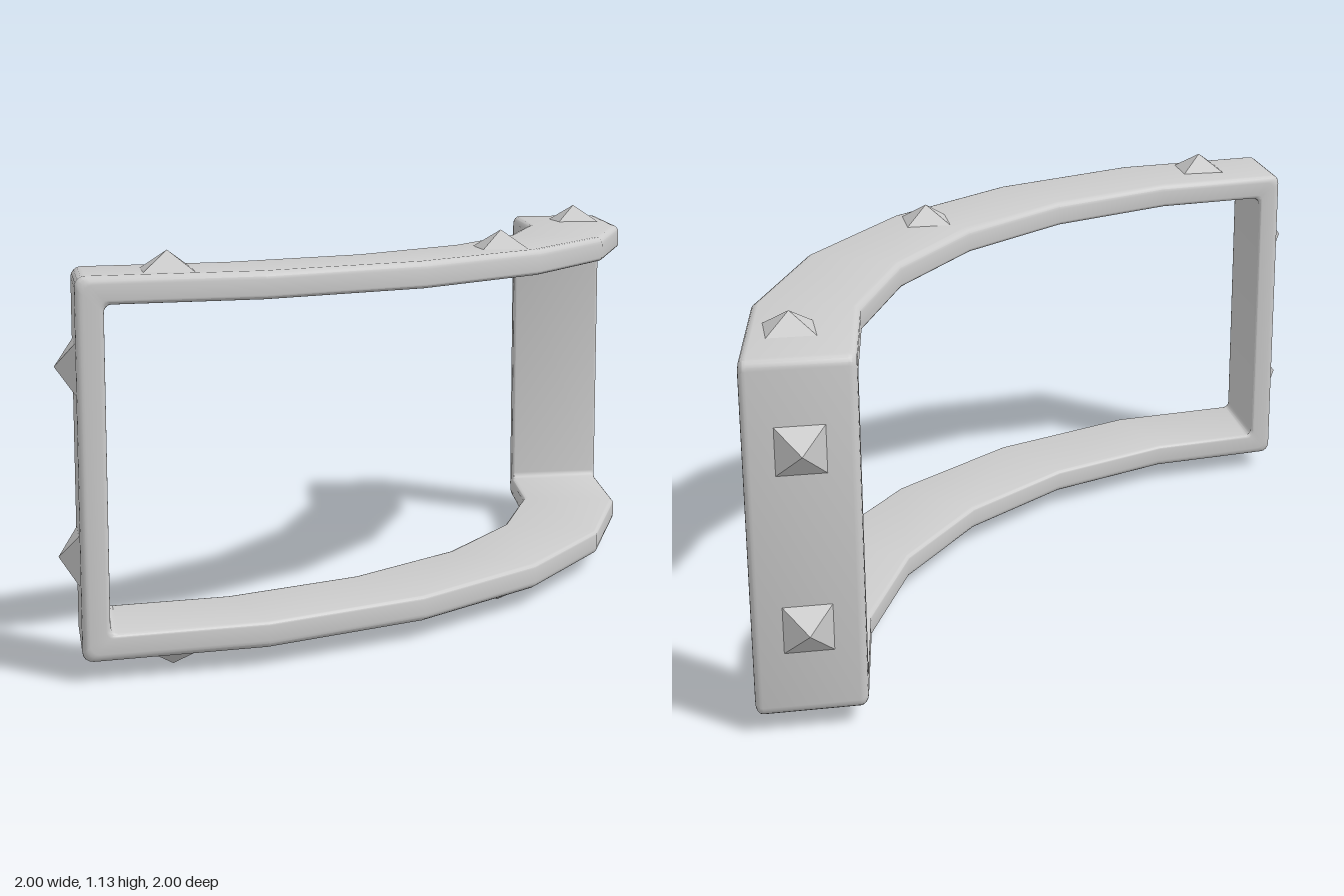
import * as THREE from 'three';
import { toCreasedNormals } from 'three/addons/utils/BufferGeometryUtils.js';

const R_IN = 1.635, R_OUT = 1.945;   // radii of the curved band
const CENTRE = -0.945;               // centre of curvature in x and z
const STEP = Math.PI / 12;           // six straight facets of 15 degrees
const Y0 = 0.053, Y1 = 1.077;        // outer bottom and top
const THICK = 0.075;
const SEG = 4;                       // segments per rounded corner

// Place a point: facet joint k, distance d along the end facet, height y, radius r
function place(k, d, y, r) {
  const a = k * STEP;
  const t = k === 6 ? 6 * STEP : k === 0 ? 0 : a;
  return new THREE.Vector3(CENTRE + r * Math.sin(a) + d * Math.cos(t), y, CENTRE + r * Math.cos(a) - d * Math.sin(t))
    .addScaledVector(new THREE.Vector3(Math.cos(a), 0, -Math.sin(a)), 0)
    .add(new THREE.Vector3(-Math.sin(a), 0, -Math.cos(a)).multiplyScalar(Math.abs(d) * Math.tan(STEP / 2)));
}

// Stations round the frame: matching points on its opening (a) and its outside (b)
function frameStations() {
  const list = [];
  const corner = (k, top, start) => {
    const sx = k === 0 ? 1 : -1, sy = top ? -1 : 1;
    const point = (inset, radius, ang) => [
      sx * (inset + radius) + radius * Math.cos(ang),
      (top ? Y1 : Y0) + sy * (inset + radius) + radius * Math.sin(ang),
    ];
    for (let i = 0; i <= SEG; i++) {
      const ang = start + (i / SEG) * Math.PI / 2;
      list.push({ k, a: point(THICK, 0.02, ang), b: point(0, 0.028, ang) });
    }
  };
  corner(0, false, Math.PI);
  for (let k = 1; k < 6; k++) list.push({ k, a: [0, Y0 + THICK], b: [0, Y0] });
  corner(6, false, Math.PI * 1.5);
  corner(6, true, 0);
  for (let k = 5; k > 0; k--) list.push({ k, a: [0, Y1 - THICK], b: [0, Y1] });
  corner(0, true, Math.PI / 2);
  return list;
}

// Rounded cross-section of the bar: [fraction from opening to outside, radius]
function barProfile() {
  const pts = [];
  const corners = [[0, 0, 0.012, Math.PI], [1, 0, 0.022, 1.5 * Math.PI], [1, 1, 0.022, 0], [0, 1, 0.012, Math.PI / 2]];
  for (const [t, w, bevel, start] of corners) {
    for (let i = 0; i <= SEG; i++) {
      const ang = start + (i / SEG) * Math.PI / 2;
      pts.push([
        t + ((t ? -1 : 1) * bevel + bevel * Math.cos(ang)) / THICK,
        (w ? R_OUT - bevel : R_IN + bevel) + bevel * Math.sin(ang),
      ]);
    }
  }
  return pts;
}

// Closed loop of cross-sections
function frameGeometry() {
  const stations = frameStations(), profile = barProfile();
  const n = stations.length, m = profile.length;
  const pos = [], index = [];
  for (const { k, a, b } of stations) {
    for (const [t, r] of profile) {
      const p = place(k, a[0] + (b[0] - a[0]) * t, a[1] + (b[1] - a[1]) * t, r);
      pos.push(p.x, p.y, p.z);
    }
  }
  for (let i = 0; i < n; i++) {
    for (let j = 0; j < m; j++) {
      const i2 = (i + 1) % n, j2 = (j + 1) % m;
      const a = i * m + j, b = i2 * m + j, c = i2 * m + j2, d = i * m + j2;
      index.push(a, b, c, a, c, d);
    }
  }
  const geo = new THREE.BufferGeometry();
  geo.setAttribute('position', new THREE.Float32BufferAttribute(pos, 3));
  geo.setIndex(index);
  return toCreasedNormals(geo, 0.45);
}

export function createModel() {
  const model = new THREE.Group();
  model.name = 'curvedFrame';

  const frame = new THREE.Mesh(frameGeometry(), new THREE.MeshStandardMaterial({ color: 0xcccccc }));
  frame.name = 'frame';
  model.add(frame);

  // Four-sided studs, base on the frame and tip pointing outwards
  const studMaterial = new THREE.MeshStandardMaterial({ color: 0xcccccc, flatShading: true });
  const studGeometry = new THREE.ConeGeometry(0.068 * Math.SQRT2, 0.053, 4)
    .rotateY(Math.PI / 4).translate(0, 0.0265, 0);
  const up = new THREE.Vector3(0, 1, 0);
  const addStud = (name, position, direction) => {
    const stud = new THREE.Mesh(studGeometry, studMaterial);
    stud.name = name;
    stud.position.set(...position);
    stud.quaternion.setFromUnitVectors(up, new THREE.Vector3(...direction));
    model.add(stud);
  };

  // Studs on the top and bottom bars
  for (const [x, z] of [[-0.695, 0.845], [0.335, 0.335], [0.845, -0.695]]) {
    addStud('topStud', [x, Y1, z], [0, 1, 0]);
    addStud('bottomStud', [x, Y0, z], [0, -1, 0]);
  }
  // Studs on the two end walls
  for (const y of [0.31, 0.825]) {
    addStud('rightEndStud', [CENTRE, y, 0.845], [-1, 0, 0]);
    addStud('backEndStud', [0.845, y, CENTRE], [0, 0, -1]);
  }
  return model;
}
